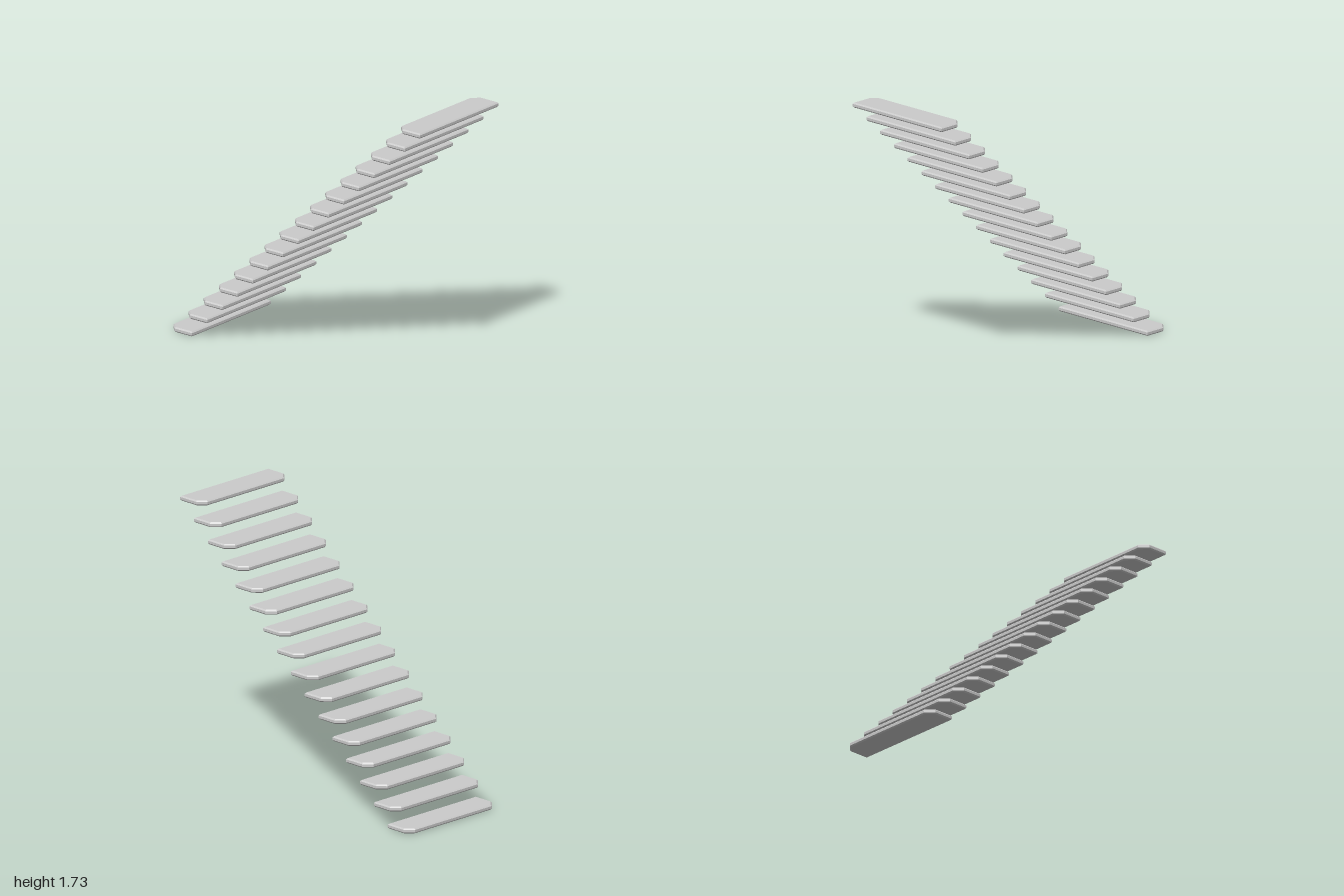
import * as THREE from 'three';

const STEPS = 16, DEPTH = 0.19, HALF = 0.382, THICK = 0.032;
const CUT = 0.05, BEVEL = 0.008, TOP = 1.73;

// Slab with its two leading corners cut off and a small bevel all round
function treadGeometry() {
  const x0 = BEVEL, x1 = DEPTH - BEVEL, z = HALF - BEVEL, c = CUT - BEVEL * 0.6;
  const outline = new THREE.Shape([
    [x0 + c, -z], [x1, -z], [x1, z], [x0 + c, z], [x0, z - c], [x0, c - z],
  ].map(([x, y]) => new THREE.Vector2(x, y)));
  const geometry = new THREE.ExtrudeGeometry(outline, {
    depth: THICK - 2 * BEVEL,
    bevelEnabled: true,
    bevelThickness: BEVEL,
    bevelSize: BEVEL,
    bevelSegments: 1,
  });
  return geometry.translate(0, 0, BEVEL).rotateX(-Math.PI / 2);
}

export function createModel() {
  const group = new THREE.Group();
  group.name = 'floatingStaircase';
  const material = new THREE.MeshStandardMaterial({ color: 0xcccccc, flatShading: true });
  const geometry = treadGeometry();

  // Treads climbing towards +x
  for (let i = 0; i < STEPS; i++) {
    const t = i / (STEPS - 1);
    const tread = new THREE.Mesh(geometry, material);
    tread.name = `tread${i + 1}`;
    tread.position.set(-1 + t * (2 - DEPTH), t * (TOP - THICK), 0);
    group.add(tread);
  }
  return group;
}
